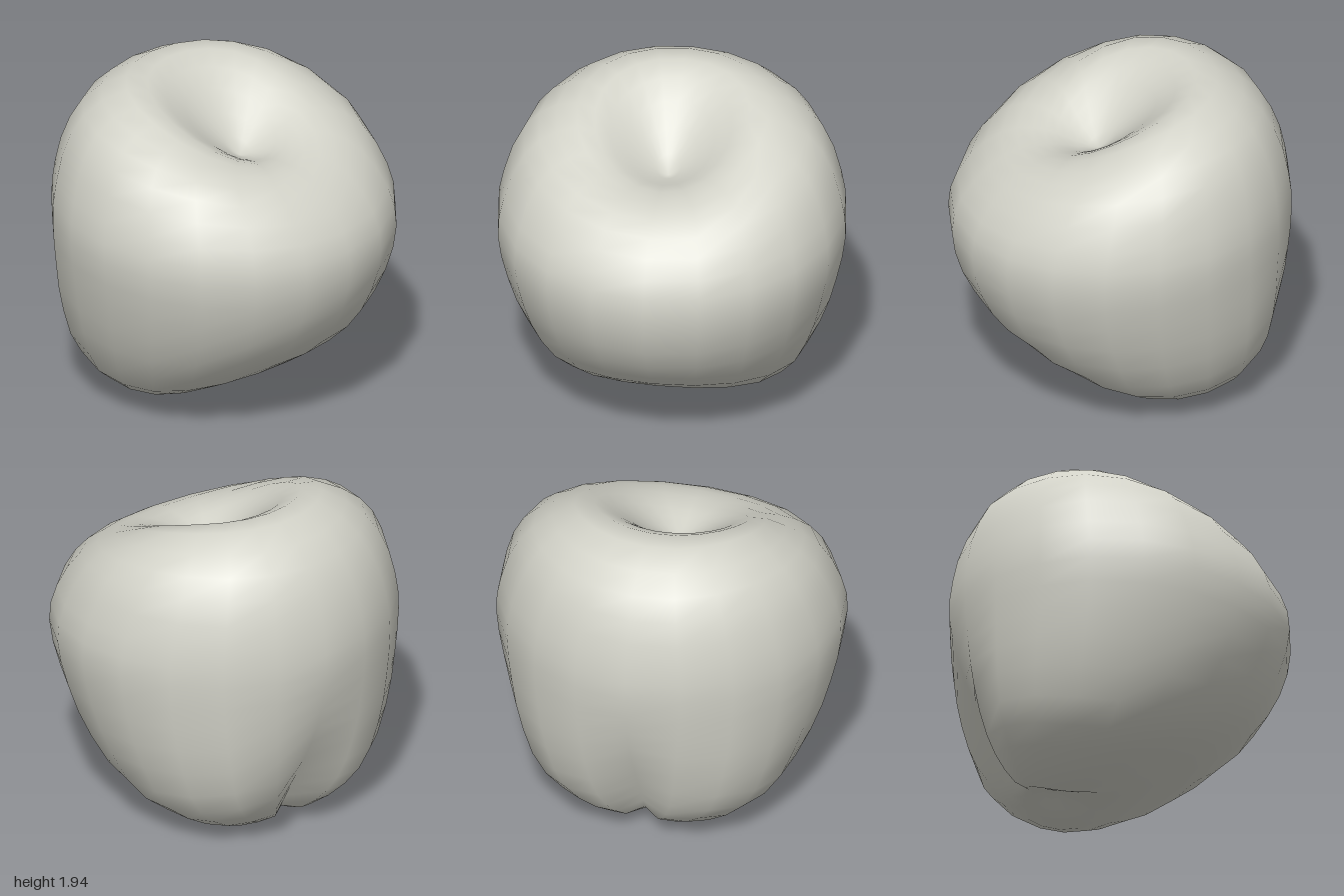
import * as THREE from 'three';

// Rows from the base hollow to the top hollow:
// [front z, front y, back z, back y, side x, side y, cleft depth, lobe bulge]
const ROWS = [
  [-0.42, 0.11, -0.42, 0.11, 0, 0.11, 0, 0],
  [-0.22, 0.08, -0.5, 0.1, 0.12, 0.05, 0.01, 0],
  [-0.02, 0.09, -0.61, 0.1, 0.27, 0, 0.06, 0.04],
  [0.25, 0.2, -0.73, 0.21, 0.5, 0.085, 0.11, 0.08],
  [0.55, 0.36, -0.83, 0.39, 0.71, 0.25, 0.11, 0.08],
  [0.78, 0.56, -0.91, 0.65, 0.86, 0.55, 0.06, 0.05],
  [0.92, 0.8, -0.955, 0.9, 0.95, 0.85, 0.02, 0.02],
  [0.975, 1.05, -0.98, 1.15, 1, 1.12, 0, 0],
  [0.93, 1.25, -0.965, 1.36, 0.975, 1.34, 0, 0],
  [0.79, 1.43, -0.9, 1.6, 0.88, 1.6, 0, 0],
  [0.62, 1.54, -0.76, 1.82, 0.72, 1.76, 0, 0],
  [0.46, 1.56, -0.5, 1.95, 0.5, 1.835, 0, 0],
  [0.35, 1.55, -0.29, 1.86, 0.32, 1.74, 0, 0],
  [0.24, 1.52, -0.08, 1.67, 0.15, 1.6, 0, 0],
  [0.12, 1.5, 0.12, 1.5, 0, 1.5, 0, 0],
];
const SIDES = 20;
const STEPS = 26;

// Smooth value of one column at t in 0..1
function sample(column, t) {
  const last = ROWS.length - 1;
  const i = Math.min(Math.floor(t * last), last - 1);
  const f = t * last - i;
  const at = (k) => ROWS[Math.max(0, Math.min(last, k))][column];
  const m0 = (at(i + 1) - at(i - 1)) / 2;
  const m1 = (at(i + 2) - at(i)) / 2;
  const f2 = f * f, f3 = f2 * f;
  return (2 * f3 - 3 * f2 + 1) * at(i) + (f3 - 2 * f2 + f) * m0
    + (3 * f2 - 2 * f3) * at(i + 1) + (f3 - f2) * m1;
}

function fruitGeometry() {
  const positions = [], indices = [];
  const pole = (row) => positions.push(0, row[1], row[0]);

  // Rings blend the front, back and side profiles around the leaning core
  pole(ROWS[0]);
  for (let j = 1; j < STEPS; j++) {
    const [fz, fy, bz, by, sx, sy, cleft, lobe] = ROWS[0].map((_, c) => sample(c, j / STEPS));
    const mid = (fy + by) / 2;
    for (let i = 0; i < SIDES; i++) {
      const a = (i / SIDES) * Math.PI * 2;
      const c = Math.cos(a), s = Math.sin(a);
      // Two full lobes at the lower back, with a crease between them
      const crease = i === SIDES / 2 ? cleft : 0;
      const swell = 1 + (c < 0 ? lobe * Math.sin(2 * a) ** 2 : 0);
      positions.push(
        sx * s * swell,
        sy + (mid - sy) * c * c + ((fy - by) / 2) * c + crease * 0.3,
        (fz + bz) / 2 + ((fz - bz) / 2) * c * swell + crease,
      );
    }
  }
  pole(ROWS[ROWS.length - 1]);

  // Skin between rings, with fans closing both hollows
  const top = positions.length / 3 - 1;
  const id = (j, i) => 1 + j * SIDES + (i % SIDES);
  for (let i = 0; i < SIDES; i++) {
    indices.push(0, id(0, i + 1), id(0, i));
    for (let j = 0; j < STEPS - 2; j++) {
      indices.push(id(j, i), id(j, i + 1), id(j + 1, i + 1));
      indices.push(id(j, i), id(j + 1, i + 1), id(j + 1, i));
    }
    indices.push(top, id(STEPS - 2, i), id(STEPS - 2, i + 1));
  }

  const geometry = new THREE.BufferGeometry();
  geometry.setAttribute('position', new THREE.Float32BufferAttribute(positions, 3));
  geometry.setIndex(indices);
  geometry.computeVertexNormals();
  return geometry;
}

export function createModel() {
  const group = new THREE.Group();
  group.name = 'apple';
  const skin = new THREE.MeshStandardMaterial({ color: 0xd2d2c8 });
  skin.name = 'pale grey skin';
  const body = new THREE.Mesh(fruitGeometry(), skin);
  body.name = 'fruitBody';
  group.add(body);
  return group;
}
